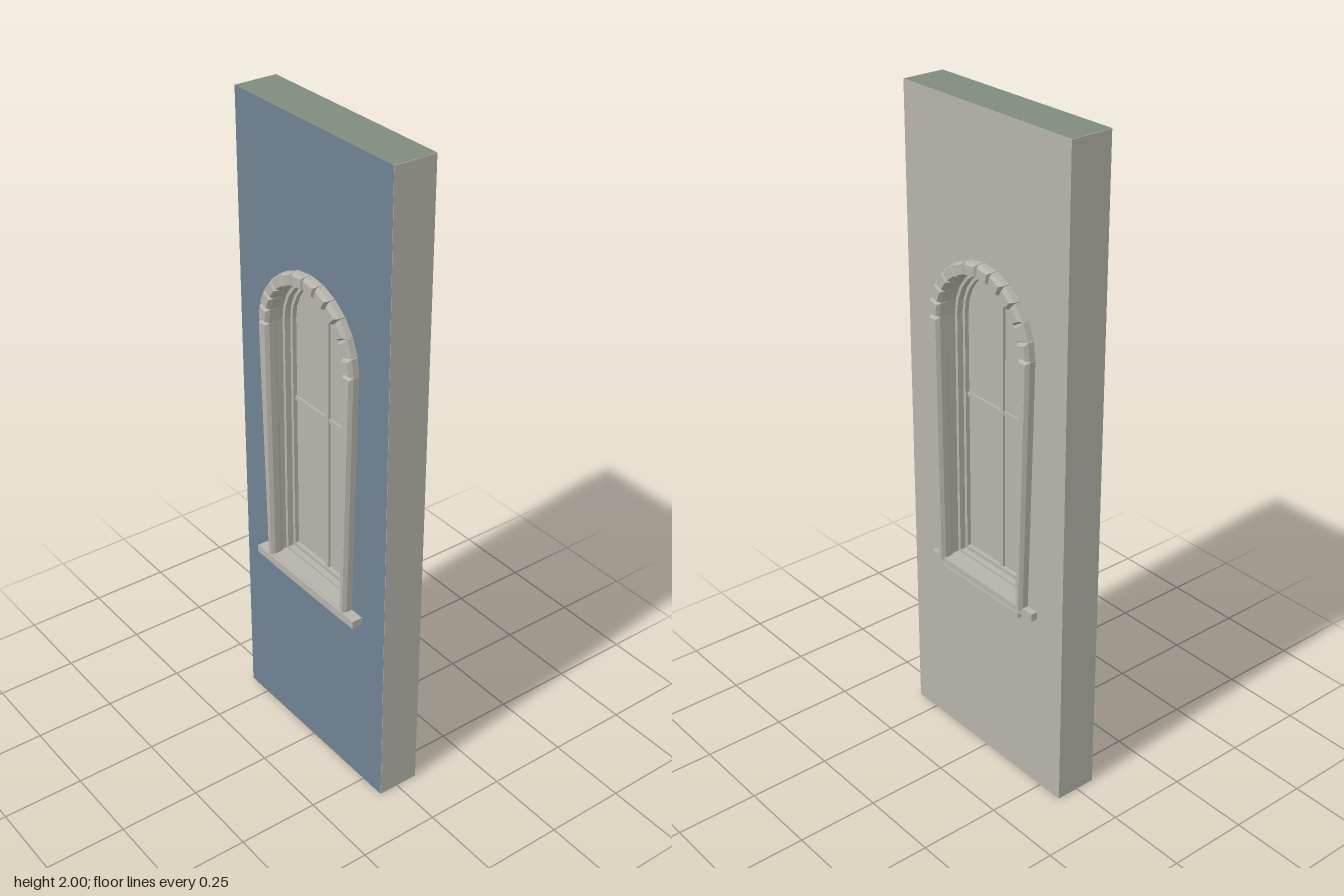
import * as THREE from 'three';

const mat = (name, color) => {
  const m = new THREE.MeshStandardMaterial({ color });
  m.name = name;
  return m;
};

const SPRING = 1.373; // height where the arch begins
const BASE = 0.6;     // bottom of the opening
const BACK = -0.07, FRONT = 0.062;

// Closed arched outline: straight sides under a faceted half circle
function archPoints(r, bottom, segments = 12) {
  const pts = [new THREE.Vector2(-r, bottom), new THREE.Vector2(r, bottom)];
  for (let i = 0; i <= segments; i++) {
    const a = (i / segments) * Math.PI;
    pts.push(new THREE.Vector2(Math.cos(a) * r, SPRING + Math.sin(a) * r));
  }
  return pts;
}

function wallShape(top) {
  const w = 0.333;
  const shape = new THREE.Shape([[-w, 0], [w, 0], [w, top], [-w, top]].map(p => new THREE.Vector2(...p)));
  shape.holes.push(new THREE.Path(archPoints(0.172, BASE)));
  return shape;
}

function extrude(shape, z0, z1) {
  return new THREE.ExtrudeGeometry(shape, { depth: z1 - z0, bevelEnabled: false }).translate(0, 0, z0);
}

// Stone with a chamfered face, its back edge buried in the wall
function stone(points, depth) {
  const bevel = 0.012;
  const shape = new THREE.Shape(points.map(p => new THREE.Vector2(...p)));
  return new THREE.ExtrudeGeometry(shape, {
    depth: depth, bevelEnabled: true, bevelSegments: 1,
    bevelThickness: bevel, bevelSize: 0.006, bevelOffset: -0.006,
  });
}

export function createModel() {
  const model = new THREE.Group();
  model.name = 'archedWindowWall';
  const grey = mat('stone grey', 0xb5b3ab);
  const blue = mat('slate blue', 0x708294);
  const green = mat('sage green', 0x7f8d7d);

  const add = (parent, name, geometry, material = grey) => {
    const mesh = new THREE.Mesh(geometry, material);
    mesh.name = name;
    parent.add(mesh);
    return mesh;
  };
  const box = (parent, name, size, pos) =>
    add(parent, name, new THREE.BoxGeometry(...size)).position.set(...pos);

  // Wall with painted front and top faces
  add(model, 'wall', extrude(wallShape(1.999), BACK, FRONT - 0.001));
  add(model, 'wallFront', new THREE.ShapeGeometry(wallShape(2)).translate(0, 0, FRONT), blue);
  add(model, 'wallTop', new THREE.PlaneGeometry(0.666, FRONT - BACK).rotateX(-Math.PI / 2)
    .translate(0, 2, (FRONT + BACK) / 2), green);

  // Window: two stepped frames, pane and glazing bars
  const windowGroup = new THREE.Group();
  windowGroup.name = 'window';
  model.add(windowGroup);
  const frame = (name, outer, inner, b0, b1, half) => {
    const shape = new THREE.Shape(archPoints(outer, b0));
    shape.holes.push(new THREE.Path(archPoints(inner, b1)));
    add(windowGroup, name, extrude(shape, -half, half));
  };
  frame('outerFrame', 0.173, 0.162, BASE - 0.005, BASE + 0.008, 0.035);
  frame('innerFrame', 0.163, 0.152, BASE, BASE + 0.02, 0.016);
  add(windowGroup, 'pane', extrude(new THREE.Shape(archPoints(0.158, BASE)), -0.003, 0.003));
  box(windowGroup, 'verticalBar', [0.013, 0.91, 0.022], [0, 1.071, 0]);
  box(windowGroup, 'horizontalBar', [0.308, 0.012, 0.018], [0, 1.12, 0]);

  // Stone surround, the same on both faces of the wall
  for (const side of [1, -1]) {
    const surround = new THREE.Group();
    surround.name = side > 0 ? 'frontSurround' : 'backSurround';
    // bevels add 0.012 at each end, so the stones stand 0.031 proud
    const depth = 0.02;
    surround.position.z = side > 0 ? FRONT - 0.001 : BACK + 0.001;
    if (side < 0) surround.rotation.y = Math.PI;
    model.add(surround);

    // Arch of twelve stones
    const count = 12, ro = 0.209, ri = 0.17, gap = 0.008;
    for (let i = 0; i < count; i++) {
      const a = (i / count) * Math.PI + gap / 2, b = ((i + 1) / count) * Math.PI - gap / 2;
      const p = (r, t) => [Math.cos(t) * r, SPRING + Math.sin(t) * r];
      add(surround, 'archStone', stone([p(ri, a), p(ro, a), p(ro, b), p(ri, b)], depth));
    }

    // Tapering jambs
    for (const s of [1, -1]) {
      const pts = [[0.163, BASE - 0.01], [0.186, BASE - 0.01], [0.209, SPRING], [0.17, SPRING]];
      const quad = pts.map(([x, y]) => [x * s, y]);
      add(surround, 'jamb', stone(s > 0 ? quad : quad.reverse(), depth));
    }

    // Sill and the moulding under it
    const w = side > 0 ? 0.466 : 0.452, d = side > 0 ? 0.036 : 0.022;
    box(surround, 'sill', [w, 0.024, d], [0, 0.588, d / 2 - 0.001]);
    box(surround, 'sillMoulding', [0.34, 0.016, 0.026], [0, 0.569, 0.012]);
    // Ledge filling the bottom of the opening
    box(surround, 'sillLedge', [0.34, 0.012, 0.064], [0, 0.596, -0.006]);
  }
  return model;
}
